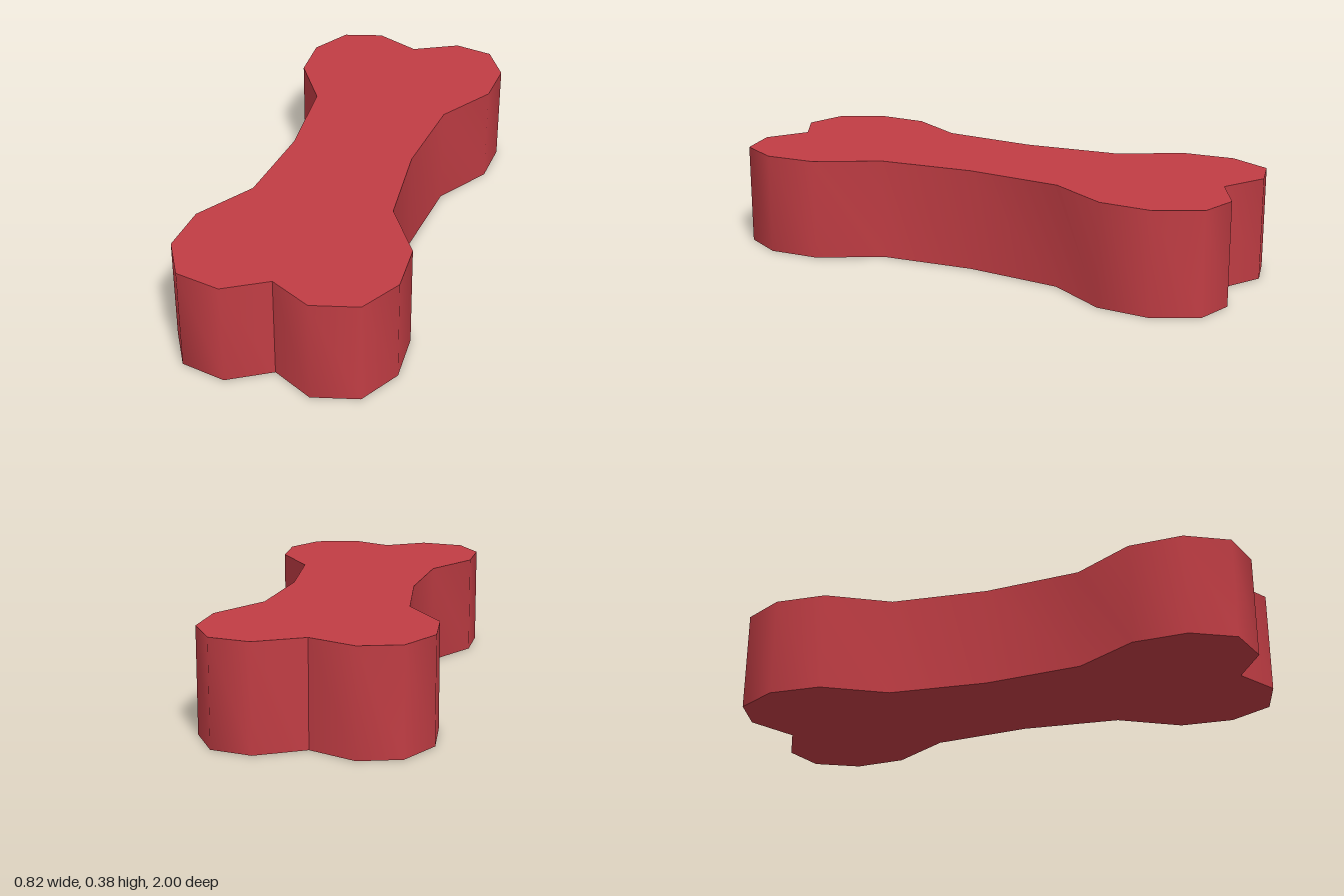
import * as THREE from 'three';
import { toCreasedNormals } from 'three/addons/utils/BufferGeometryUtils.js';

const HEIGHT = 0.385;

// Half outline (x, z) from the back notch to the front notch
const HALF = [
  [0, -0.91], [0.173, -1], [0.325, -0.96], [0.41, -0.8], [0.4, -0.6], [0.267, -0.375],
  [0.235, 0],
  [0.267, 0.372], [0.4, 0.597], [0.41, 0.8], [0.325, 0.958], [0.155, 1], [0, 0.907],
];

export function createModel() {
  const red = new THREE.MeshStandardMaterial({ color: 0xc13d44 });
  red.name = 'red';

  // Mirror the half to close the bone outline; shape y becomes -z once laid flat
  const mirrored = HALF.slice(1, -1).reverse().map(([x, z]) => [-x, z]);
  const outline = [...HALF, ...mirrored].map(([x, z]) => new THREE.Vector2(x, -z));
  const slab = new THREE.ExtrudeGeometry(new THREE.Shape(outline), { depth: HEIGHT, bevelEnabled: false });
  slab.rotateX(-Math.PI / 2);

  // Rounded lobes shade smoothly; the notches and rims stay sharp
  const bone = new THREE.Mesh(toCreasedNormals(slab, THREE.MathUtils.degToRad(50)), red);
  bone.name = 'bone';

  const model = new THREE.Group();
  model.name = 'boneBlock';
  model.add(bone);
  return model;
}
